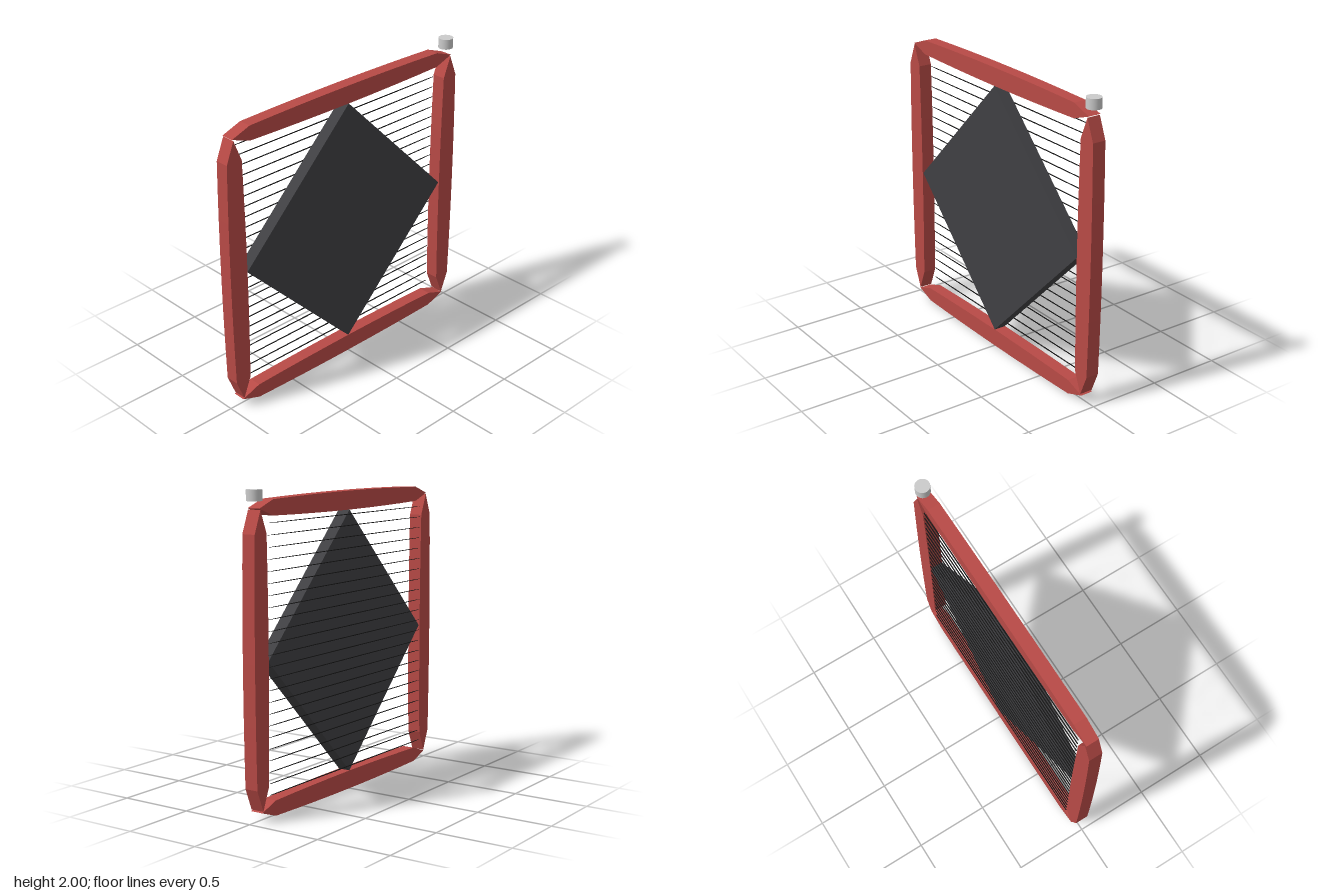
import * as THREE from 'three';

const red = new THREE.MeshStandardMaterial({ color: 0xb84a46, flatShading: true });
const dark = new THREE.MeshStandardMaterial({ color: 0x404043, flatShading: true });
const black = new THREE.MeshStandardMaterial({ color: 0x141414, flatShading: true });
const grey = new THREE.MeshStandardMaterial({ color: 0xcccccc });

// Flat bar along x: pointed ends, shoulders, and a slight swelling at the middle
function barGeometry(halfLength, shoulder, endHalf, midHalf, depth) {
  const upper = [];
  const steps = 8;
  for (let i = 0; i <= steps; i++) {
    const t = 1 - (2 * i) / steps;
    upper.push(new THREE.Vector2(t * shoulder, endHalf + (midHalf - endHalf) * (1 - t * t)));
  }
  const lower = upper.map(p => new THREE.Vector2(-p.x, -p.y));
  const outline = [
    new THREE.Vector2(halfLength, 0), ...upper,
    new THREE.Vector2(-halfLength, 0), ...lower,
  ];
  const geo = new THREE.ExtrudeGeometry(new THREE.Shape(outline), { depth, bevelEnabled: false });
  return geo.translate(0, 0, -depth / 2);
}

function add(parent, name, geometry, material, x, y, z) {
  const mesh = new THREE.Mesh(geometry, material);
  mesh.name = name;
  mesh.position.set(x, y, z);
  parent.add(mesh);
  return mesh;
}

export function createModel() {
  const model = new THREE.Group();
  model.name = 'wiredFrame';

  // Four frame bars
  const frame = new THREE.Group();
  frame.name = 'frame';
  model.add(frame);
  const rail = barGeometry(0.93, 0.795, 0.048, 0.06, 0.085);
  add(frame, 'bottomRail', rail, red, 0, 0.064, 0);
  add(frame, 'topRail', rail, red, 0, 1.89, 0);
  const post = barGeometry(0.905, 0.765, 0.056, 0.066, 0.091);
  for (const side of [-1, 1]) {
    const mesh = add(frame, side > 0 ? 'leftPost' : 'rightPost', post, red, side * 0.922, 0.977, 0);
    mesh.rotation.z = Math.PI / 2;
  }

  // Square panel standing on its corner
  const edge = 0.853 * Math.SQRT2;
  const panel = add(model, 'diamondPanel', new THREE.BoxGeometry(edge, edge, 0.082), dark, 0, 0.977, 0.001);
  panel.rotation.z = Math.PI / 4;

  // Fine horizontal wires across the back
  const wires = new THREE.Group();
  wires.name = 'wires';
  model.add(wires);
  const wire = barGeometry(0.855, 0.78, 0.0014, 0.0022, 0.007);
  for (let i = 0; i < 24; i++) {
    add(wires, 'wire', wire, black, 0, 0.157 + i * 0.0715, -0.042);
  }

  // Small cap above the corner
  add(model, 'cornerCap', new THREE.CylinderGeometry(0.048, 0.048, 0.067, 32), grey, 0.922, 1.9665, 0);

  return model;
}
